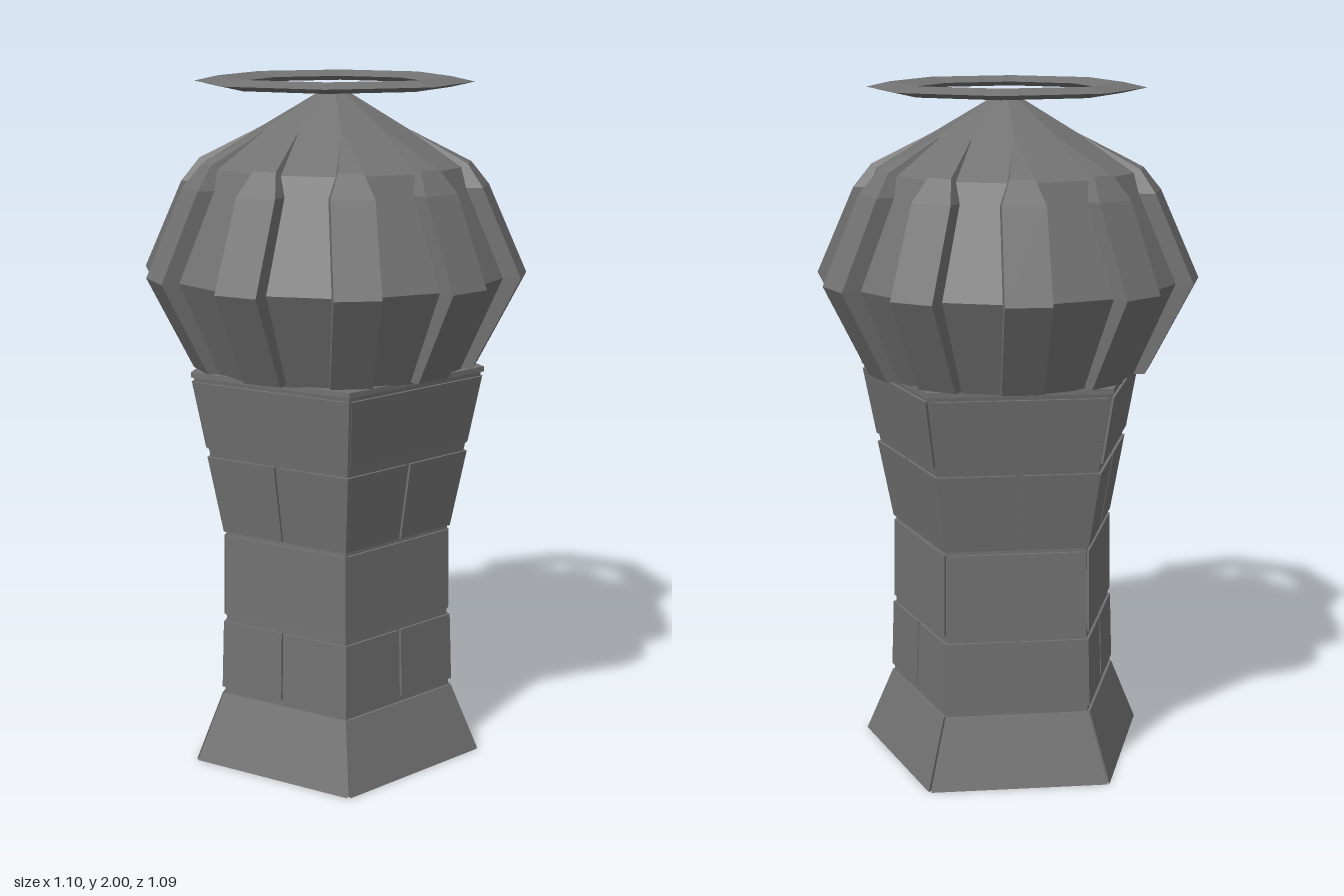
import * as THREE from 'three';

const DEG = Math.PI / 180;
const material = new THREE.MeshStandardMaterial({ color: 0x727272, flatShading: true });

// Closed, faceted solid through rings of points (counter-clockwise from above, bottom to top)
function loft(rings) {
  const pos = [];
  const tri = (a, b, c) => pos.push(...a, ...b, ...c);
  const n = rings[0].length;
  for (let j = 0; j + 1 < rings.length; j++) {
    for (let i = 0; i < n; i++) {
      const k = (i + 1) % n, lo = rings[j], hi = rings[j + 1];
      tri(lo[i], lo[k], hi[k]);
      tri(lo[i], hi[k], hi[i]);
    }
  }
  const bottom = rings[0], top = rings[rings.length - 1];
  for (let i = 1; i + 1 < n; i++) {
    tri(bottom[0], bottom[i + 1], bottom[i]);
    tri(top[0], top[i], top[i + 1]);
  }
  const g = new THREE.BufferGeometry();
  g.setAttribute('position', new THREE.Float32BufferAttribute(pos, 3));
  g.computeVertexNormals();
  return g;
}

// Regular polygon ring with its first corner at the given angle
const polygon = (n, r, y, start) => Array.from({ length: n }, (_, i) => {
  const a = start + i * 2 * Math.PI / n;
  return [r * Math.cos(a), y, -r * Math.sin(a)];
});

// Tower radius at each height
const PROFILE = [[0, 0.447], [0.2, 0.362], [0.45, 0.353], [0.7, 0.35], [1.18, 0.447]];
function radiusAt(y) {
  for (let i = 1; i < PROFILE.length; i++) {
    const [y0, r0] = PROFILE[i - 1], [y1, r1] = PROFILE[i];
    if (y <= y1) return r0 + (r1 - r0) * (y - y0) / (y1 - y0);
  }
  return PROFILE[PROFILE.length - 1][1];
}

// Point on tower face k, t = 0..1 from corner to corner
function facePoint(k, t, y, scale) {
  const c = polygon(5, radiusAt(y) * scale, y, Math.PI);
  const a = c[(k + 5) % 5], b = c[(k + 6) % 5];
  return a.map((v, i) => v + (b[i] - v) * t);
}

const INNER = 0.9;
const flatBrick = (k, gap) => y => [
  facePoint(k, gap, y, INNER), facePoint(k, gap, y, 1),
  facePoint(k, 1 - gap, y, 1), facePoint(k, 1 - gap, y, INNER),
];
const cornerBrick = (k, gap) => y => [
  facePoint(k, 0, y, INNER), facePoint(k - 1, 0.5 + gap, y, INNER),
  facePoint(k - 1, 0.5 + gap, y, 1), facePoint(k, 0, y, 1),
  facePoint(k, 0.5 - gap, y, 1), facePoint(k, 0.5 - gap, y, INNER),
];

export function createModel() {
  const model = new THREE.Group();
  const add = (name, geometry, parent = model) => {
    const mesh = new THREE.Mesh(geometry, material);
    mesh.name = name;
    parent.add(mesh);
    return mesh;
  };

  // Five-sided tower, set slightly off the dome's axis
  const tower = new THREE.Group();
  tower.name = 'tower';
  tower.position.set(0.006, 0, 0.006);
  model.add(tower);

  // Recessed core that shows in the mortar joints
  add('towerCore', loft(PROFILE.map(([y, r]) => polygon(5, r * 0.975, y, Math.PI))), tower);

  // Flared foot and alternating brick courses
  const courses = [
    ['foot', 0, 0.2, flatBrick, 0.01],
    ['splitCourse', 0.22, 0.423, cornerBrick, 0.016],
    ['wholeCourse', 0.445, 0.688, flatBrick, 0.016],
    ['splitCourse', 0.7, 0.93, cornerBrick, 0.016],
    ['wholeCourse', 0.957, 1.155, flatBrick, 0.016],
  ];
  for (const [name, y0, y1, shape, gap] of courses) {
    const course = new THREE.Group();
    course.name = name;
    tower.add(course);
    for (let k = 0; k < 5; k++) {
      const section = shape(k, gap);
      add('brick', loft([section(y0), section(y1)]), course);
    }
  }

  // Thin slab under the dome
  add('topSlab', loft([1.168, 1.183].map(y => polygon(5, 0.442, y, Math.PI))), tower);

  // Ten-sided dome with a pointed top
  const dome = [[0.4, 1.18], [0.52, 1.45], [0.385, 1.755], [0.001, 1.98]];
  add('dome', loft(dome.map(([r, y]) => polygon(10, r, y, 0))));

  // Ribs over the dome corners, fading into the pointed top: outer radius, height, half width
  const rib = [[0.415, 1.185, 0.058], [0.55, 1.45, 0.064], [0.438, 1.7, 0.06], [0.39, 1.765, 0.035], [0.22, 1.852, 0.004]];
  const ribGeometry = loft(rib.map(([r, y, w]) => [[r, y, w], [r, y, -w], [0.2, y, -w], [0.2, y, w]]));
  const ribs = new THREE.Group();
  ribs.name = 'domeRibs';
  model.add(ribs);
  for (const angle of [0, 35, 70, 107, 144, 180, 216, 249.5, 283, 324]) {
    add('rib', ribGeometry, ribs).rotation.y = -angle * DEG;
  }

  // Eight-sided flat ring with a diamond section
  const ring = add('topRing', new THREE.TorusGeometry(0.329, 0.069, 4, 8).scale(1, 1, 0.22));
  ring.rotation.x = Math.PI / 2;
  ring.position.y = 1.985;

  return model;
}
